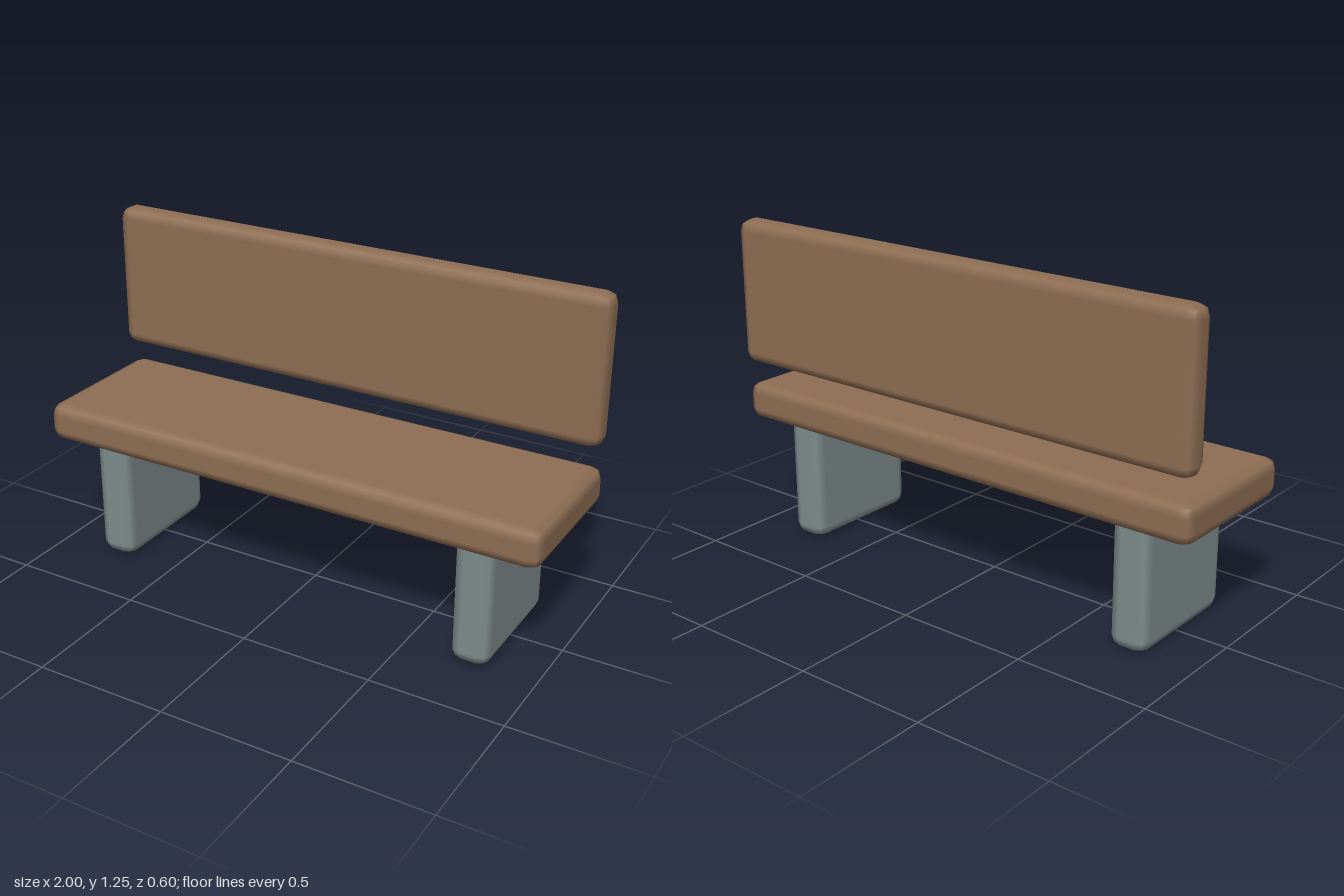
import * as THREE from 'three';
import { RoundedBoxGeometry } from 'three/addons/geometries/RoundedBoxGeometry.js';

export function createModel() {
  const bench = new THREE.Group();
  bench.name = 'bench';

  const wood = new THREE.MeshStandardMaterial({ color: 0x8e6e53 });
  wood.name = 'brown wood';
  const stone = new THREE.MeshStandardMaterial({ color: 0x7f8c8d });
  stone.name = 'grey stone';

  // Block with softly bevelled edges, placed by its centre
  const addBlock = (name, material, size, position) => {
    const mesh = new THREE.Mesh(new RoundedBoxGeometry(...size, 1, 0.044), material);
    mesh.name = name;
    mesh.position.set(...position);
    bench.add(mesh);
  };

  // Seat slab and the floating backrest board
  addBlock('seat', wood, [2, 0.147, 0.586], [0, 0.529, 0.006]);
  addBlock('backrest', wood, [2, 0.56, 0.11], [0, 0.966, -0.244]);

  // Legs, with their tops sunk into the seat
  for (const [name, side] of [['leftLeg', 1], ['rightLeg', -1]]) {
    addBlock(name, stone, [0.147, 0.51, 0.5], [side * 0.75, 0.255, 0.006]);
  }

  return bench;
}
